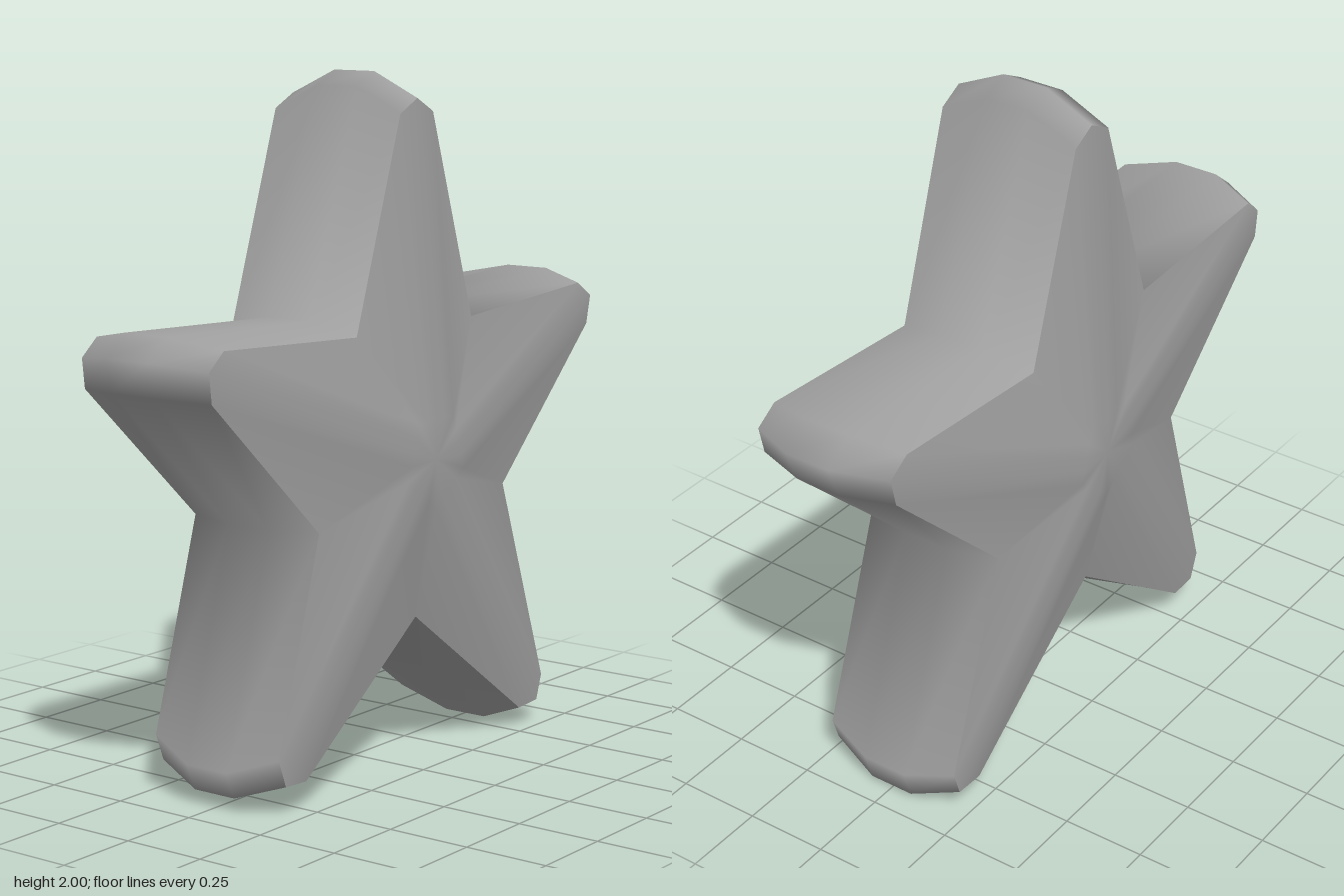
import * as THREE from 'three';

// Star outlines as [z, y], counter-clockwise from +x: three tip points then a valley, per arm
const outer = [
  [-0.08, 1.96], [0, 2], [0.08, 1.96], [0.3, 1.325],
  [0.905, 1.35], [0.98, 1.29], [0.96, 1.195], [0.485, 0.765],
  [0.675, 0.12], [0.64, 0.04], [0.54, 0.03], [0, 0.405],
  [-0.57, 0], [-0.67, 0.01], [-0.7, 0.1], [-0.48, 0.765],
  [-0.94, 1.2], [-0.98, 1.3], [-0.89, 1.36], [-0.3, 1.325],
];
const inner = [
  [-0.075, 1.89], [0, 1.93], [0.08, 1.89], [0.28, 1.29],
  [0.85, 1.32], [0.91, 1.27], [0.9, 1.185], [0.45, 0.77],
  [0.63, 0.17], [0.6, 0.09], [0.51, 0.085], [0, 0.45],
  [-0.54, 0.06], [-0.635, 0.065], [-0.66, 0.14], [-0.44, 0.77],
  [-0.89, 1.2], [-0.91, 1.285], [-0.84, 1.33], [-0.27, 1.29],
];
const centreY = 0.915;
const n = outer.length;

// Small pentagon plateau whose corners point at the valleys
function plateau(radius) {
  const corner = (k) => {
    const a = Math.PI / 2 + Math.PI / 5 + k * Math.PI * 0.4;
    return [-radius * Math.cos(a), centreY + radius * Math.sin(a)];
  };
  return outer.map((_, i) => {
    const arm = Math.floor(i / 4), t = (i % 4 + 1) / 4;
    const a = corner(arm - 1), b = corner(arm);
    return [a[0] + (b[0] - a[0]) * t, a[1] + (b[1] - a[1]) * t];
  });
}

// Smooth skin over sections [x, outline]; capX closes the last section, flip reverses the winding
function skin(sections, { capX, flip = false } = {}) {
  const positions = [], index = [];
  const face = (a, b, c) => index.push(...(flip ? [a, c, b] : [a, b, c]));
  for (const [x, ring] of sections) for (const [z, y] of ring) positions.push(x, y, z);
  const last = (sections.length - 1) * n;
  for (let i = 0; i < n; i++) {
    const k = (i + 1) % n;
    for (let s = 0; s < last; s += n) {
      face(s + i, s + k, s + n + i);
      face(s + k, s + n + k, s + n + i);
    }
    if (capX !== undefined) face(last + n, last + i, last + k);
  }
  if (capX !== undefined) positions.push(capX, centreY, 0);
  const geometry = new THREE.BufferGeometry();
  geometry.setAttribute('position', new THREE.Float32BufferAttribute(positions, 3));
  geometry.setIndex(index);
  geometry.computeVertexNormals();
  return geometry;
}

export function createModel() {
  const group = new THREE.Group();
  const material = new THREE.MeshStandardMaterial({ color: 0x9f9f9f });
  const add = (name, geometry) => {
    const mesh = new THREE.Mesh(geometry, material);
    mesh.name = name;
    group.add(mesh);
  };

  // Rounded band around the edge, shaded smoothly through tips and valleys
  add('rim', skin([[-0.22, inner], [-0.07, outer], [0.07, outer], [0.22, inner]]));

  // Gently domed star faces on both sides
  const top = plateau(0.14);
  for (const [name, side] of [['leftFace', 1], ['rightFace', -1]]) {
    add(name, skin([[side * 0.22, inner], [side * 0.29, top]], { capX: side * 0.29, flip: side < 0 }));
  }
  return group;
}
